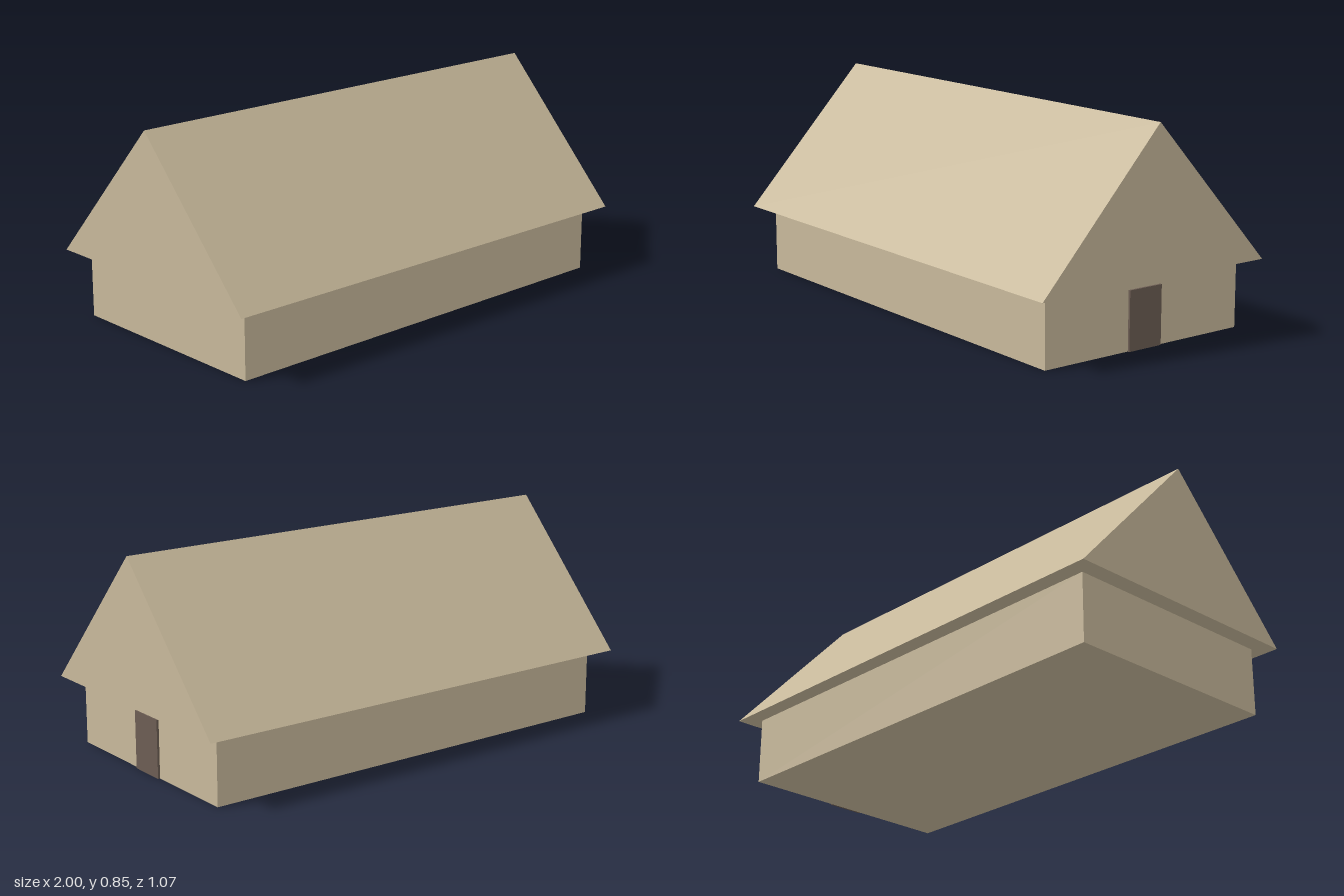
import * as THREE from 'three';

const tan = new THREE.MeshStandardMaterial({ color: 0xc8b99b });
tan.name = 'tan';
const darkBrown = new THREE.MeshStandardMaterial({ color: 0x6c5d53 });
darkBrown.name = 'dark brown';

const EAVES = 0.273, RIDGE = 0.853;

function addBox(group, name, material, [w, h, d], [x, y, z]) {
  const mesh = new THREE.Mesh(new THREE.BoxGeometry(w, h, d), material);
  mesh.name = name;
  mesh.position.set(x, y, z);
  group.add(mesh);
}

export function createModel() {
  const house = new THREE.Group();
  house.name = 'longhouse';

  // Low walls
  addBox(house, 'walls', tan, [1.86, EAVES, 0.932], [0, EAVES / 2, 0]);

  // Door on the left gable end
  addBox(house, 'door', darkBrown, [0.018, 0.233, 0.154], [0.93, 0.1165, 0]);

  // Solid gabled roof, ridge along x
  const gable = new THREE.Shape([
    new THREE.Vector2(-0.534, EAVES),
    new THREE.Vector2(0.534, EAVES),
    new THREE.Vector2(0, RIDGE),
  ]);
  const roofGeometry = new THREE.ExtrudeGeometry(gable, { depth: 2, bevelEnabled: false });
  roofGeometry.translate(0, 0, -1).rotateY(Math.PI / 2);
  const roof = new THREE.Mesh(roofGeometry, tan);
  roof.name = 'roof';
  house.add(roof);

  return house;
}
